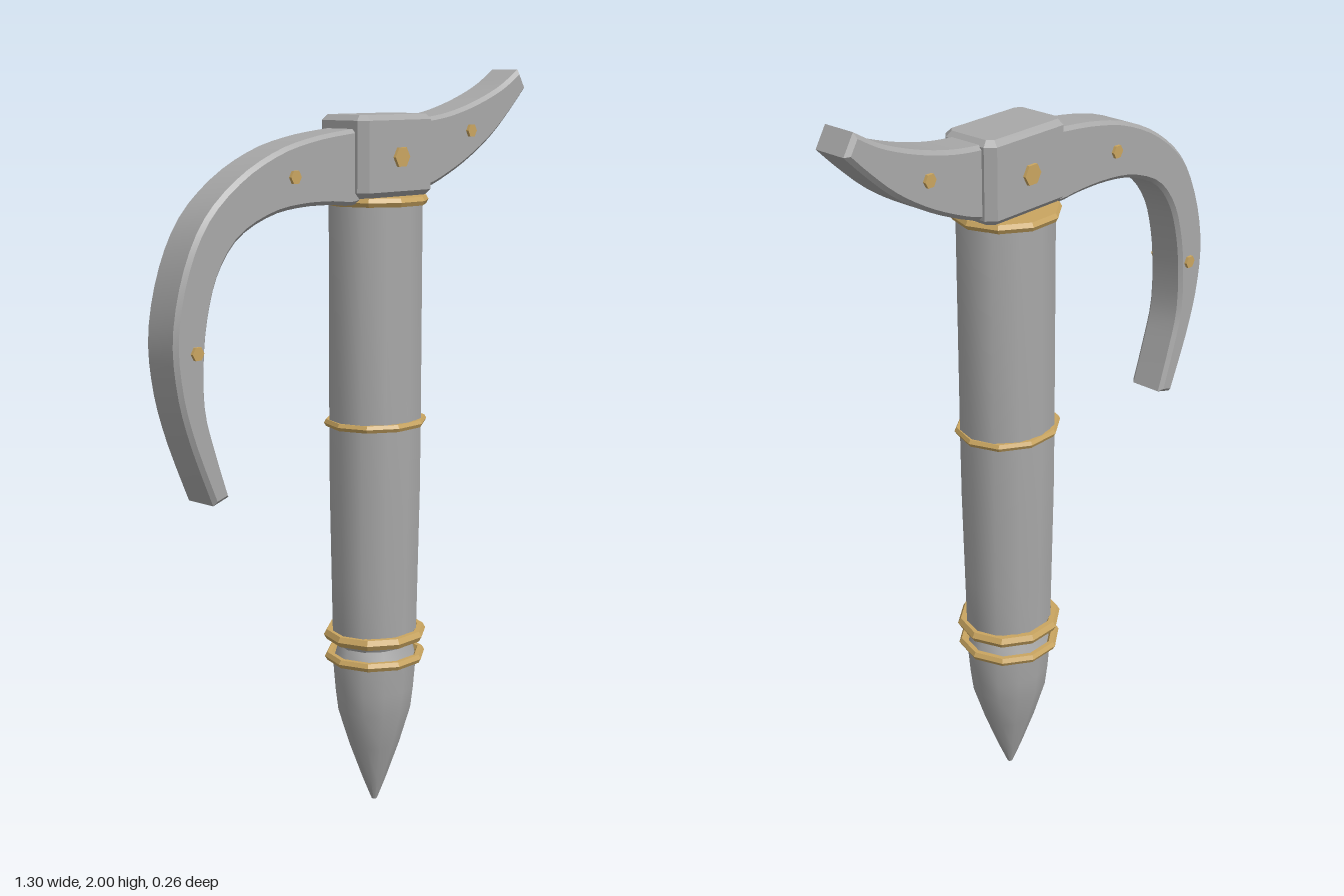
import * as THREE from 'three';
import { toCreasedNormals } from 'three/addons/utils/BufferGeometryUtils.js';

const steel = new THREE.MeshStandardMaterial({ color: 0xa8a8a8 });
steel.name = 'steel grey';
const brass = new THREE.MeshStandardMaterial({ color: 0xc9a560 });
brass.name = 'brass';

const AXIS = 0.09; // x of the shaft
const vecs = (pts) => pts.map(([x, y]) => new THREE.Vector2(x, y));

export function createModel() {
  const model = new THREE.Group();
  model.name = 'hookedStaff';

  const add = (name, geometry, material, x = 0, y = 0) => {
    const mesh = new THREE.Mesh(geometry, material);
    mesh.name = name;
    mesh.position.set(x, y, 0);
    model.add(mesh);
    return mesh;
  };

  // Bevelled plate centred on z = 0, keeping its outline
  const plate = (shape, depth, bevel) => {
    const g = new THREE.ExtrudeGeometry(shape, {
      depth: depth - 2 * bevel, bevelEnabled: true, bevelSegments: 1,
      bevelSize: bevel, bevelThickness: bevel, bevelOffset: -bevel, curveSegments: 1,
    });
    g.translate(0, 0, bevel - depth / 2);
    return toCreasedNormals(g, 0.5);
  };

  // Outline running along one smooth edge and back along the other
  const blade = (a, b, steps) => new THREE.Shape([
    ...new THREE.SplineCurve(vecs(a)).getPoints(steps),
    ...new THREE.SplineCurve(vecs(b)).getPoints(steps),
  ]);

  // Shaft, slightly flattened front to back
  const lathe = (profile) => {
    const g = new THREE.LatheGeometry(vecs(profile), 12);
    g.scale(1, 1, 0.87);
    return toCreasedNormals(g, 0.6);
  };
  add('shaft', lathe([[0.126, 0.5], [0.129, 0.65], [0.134, 0.9], [0.135, 1.08], [0.135, 1.67], [0, 1.67]]), steel, AXIS);
  add('neck', lathe([[0.125, 0.42], [0.108, 0.465], [0.126, 0.5]]), steel, AXIS);
  add('pointedTip', lathe([[0, 0], [0.008, 0.003], [0.036, 0.07], [0.076, 0.175], [0.11, 0.28], [0.118, 0.34], [0.126, 0.43]]), steel, AXIS);

  // Brass bands: height, outer radius, tube, depth scale
  [[1.67, 0.143, 0.013, 0.95], [1.085, 0.146, 0.011, 0.9], [0.495, 0.146, 0.016, 0.94], [0.432, 0.142, 0.013, 0.96]]
    .forEach(([y, r, tube, depth], i) => {
      const g = new THREE.TorusGeometry(r - tube, tube, 6, 10);
      g.rotateX(Math.PI / 2);
      g.scale(1, 1, depth);
      add('band' + (i + 1), toCreasedNormals(g, 0.5), brass, AXIS, y);
    });
  const cap = new THREE.CylinderGeometry(0.132, 0.132, 0.02, 10);
  cap.rotateY(Math.PI / 2);
  cap.scale(1, 1, 0.95);
  add('shaftCap', cap, brass, AXIS, 1.671);

  // Chamfered head block
  const w = 0.139, d = 0.083, c = 0.022;
  const block = plate(new THREE.Shape(vecs([
    [-w + c, -d], [w - c, -d], [w, -d + c], [w, d - c], [w - c, d], [-w + c, d], [-w, d - c], [-w, -d + c],
  ])), 0.208, 0.014);
  block.rotateX(-Math.PI / 2);
  add('headBlock', block, steel, 0.092, 1.785);

  // Long curved hook on the right
  const hook = blade(
    [[0.03, 1.86], [-0.045, 1.855], [-0.18, 1.84], [-0.31, 1.81], [-0.44, 1.75], [-0.55, 1.66],
      [-0.618, 1.54], [-0.653, 1.395], [-0.643, 1.26], [-0.605, 1.13], [-0.537, 0.97]],
    [[-0.487, 0.985], [-0.527, 1.1], [-0.558, 1.21], [-0.558, 1.34], [-0.54, 1.447], [-0.505, 1.537],
      [-0.44, 1.61], [-0.335, 1.655], [-0.23, 1.67], [-0.125, 1.67], [-0.045, 1.665], [0.03, 1.69]], 32);
  add('hook', plate(hook, 0.108, 0.01), steel);

  // Short upswept horn on the left
  const horn = blade(
    [[0.648, 1.95], [0.59, 1.895], [0.51, 1.828], [0.42, 1.772], [0.325, 1.727], [0.23, 1.695], [0.15, 1.7]].reverse(),
    [[0.617, 2], [0.537, 1.955], [0.43, 1.916], [0.325, 1.89], [0.23, 1.878], [0.15, 1.875]], 18);
  add('horn', plate(horn, 0.108, 0.01), steel);

  // Hexagonal bolts passing through to both faces
  [['hookUpperBolt', -0.263, 1.745, 0.018, 0.062], ['hookLowerBolt', -0.59, 1.35, 0.018, 0.062],
    ['hornBolt', 0.405, 1.84, 0.018, 0.062], ['headBolt', 0.092, 1.782, 0.028, 0.091]]
    .forEach(([name, x, y, r, z]) => {
      const g = new THREE.CylinderGeometry(r, r, 2 * z, 6);
      g.rotateY(Math.PI / 6);
      g.rotateX(Math.PI / 2);
      add(name, toCreasedNormals(g, 0.5), brass, x, y);
    });

  return model;
}
